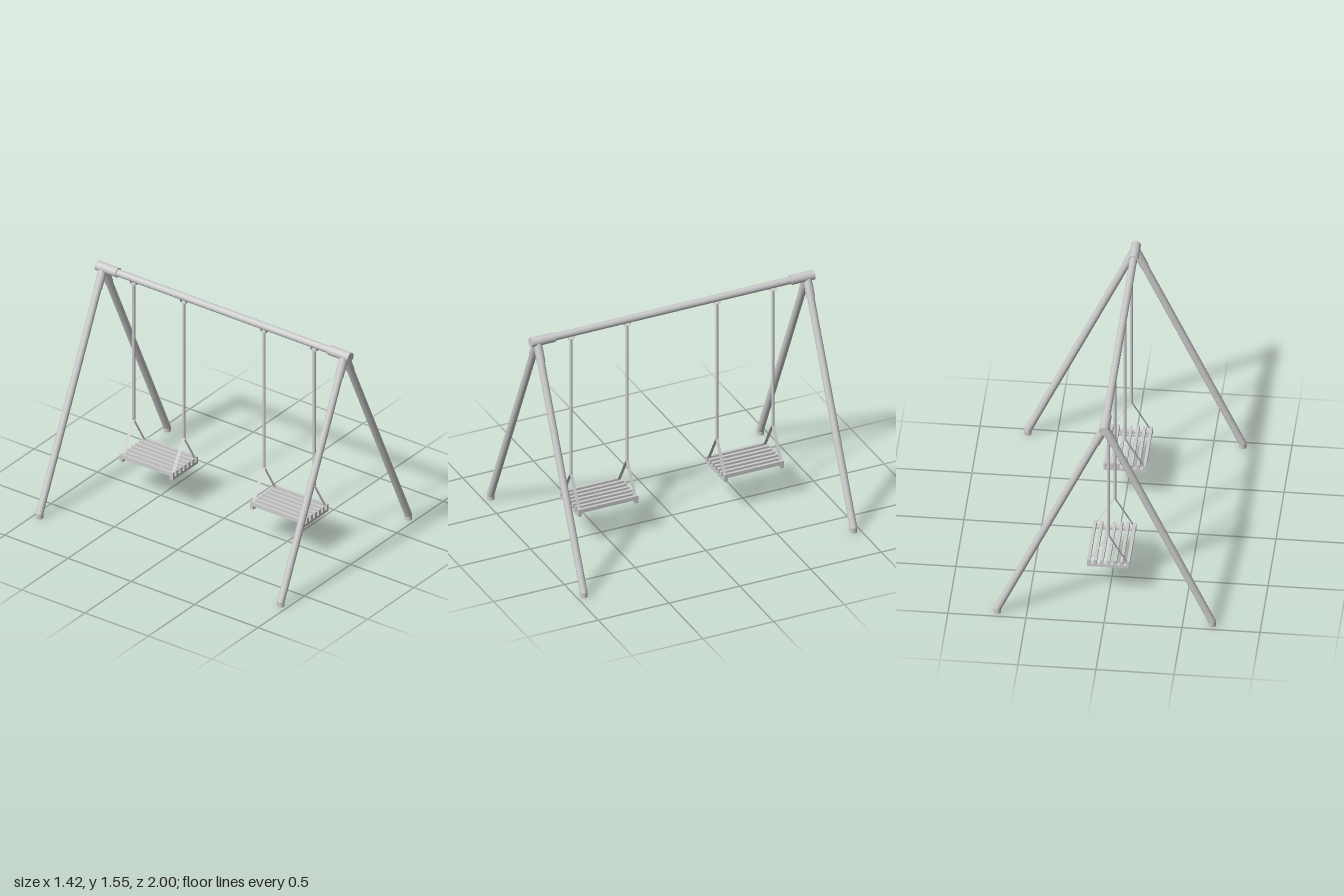
import * as THREE from 'three';

const grey = new THREE.MeshStandardMaterial({ color: 0xcccccc });
const thin = new THREE.MeshStandardMaterial({ color: 0xcccccc, side: THREE.DoubleSide, flatShading: true });

const BEAM_Y = 1.521, LEG_Z = 0.953, LEG_R = 0.024;
const FOOT_X = 0.688, BEND_Y = 0.03;
const SEAT_Z = 0.515, HALF_SPAN = 0.198;

function add(parent, name, geometry, x = 0, y = 0, z = 0, material = grey) {
  const mesh = new THREE.Mesh(geometry, material);
  mesh.name = name;
  mesh.position.set(x, y, z);
  parent.add(mesh);
  return mesh;
}

// Sheet-metal strip: a line in the xy plane swept along z
function ribbon(points, width) {
  const pos = [], index = [];
  points.forEach(([x, y], i) => {
    pos.push(x, y, -width / 2, x, y, width / 2);
    if (i) {
      const a = 2 * i - 2;
      index.push(a, a + 1, a + 2, a + 1, a + 3, a + 2);
    }
  });
  const g = new THREE.BufferGeometry();
  g.setAttribute('position', new THREE.Float32BufferAttribute(pos, 3));
  g.setIndex(index);
  g.computeVertexNormals();
  return g;
}

// Sloping tube with a mitred bend into a short upright foot
function legGeometry(angle) {
  const g = new THREE.CylinderGeometry(LEG_R, LEG_R, 2, 24, 2).toNonIndexed();
  const p = g.attributes.position;
  for (let i = 0; i < p.count; i++) {
    const u = p.getX(i), level = Math.round(p.getY(i));
    if (level < 0) p.setXY(i, FOOT_X + u, 0);
    else if (level === 0) p.setXY(i, FOOT_X + u, BEND_Y + u * Math.tan(angle / 2));
    else p.setXY(i, u * Math.cos(angle), BEAM_Y + u * Math.sin(angle));
  }
  g.computeVertexNormals();
  return g;
}

function createLeg() {
  const leg = new THREE.Group();
  leg.name = 'leg';
  const angle = Math.atan2(FOOT_X, BEAM_Y - BEND_Y);
  add(leg, 'legTube', legGeometry(angle));
  // Socket joining the leg to the beam
  const length = 0.143;
  const socket = add(leg, 'legSocket', new THREE.CylinderGeometry(0.028, 0.028, length, 24),
    Math.sin(angle) * length / 2, BEAM_Y - Math.cos(angle) * length / 2);
  socket.rotation.z = angle;
  return leg;
}

// Notched seat support with seven teeth
function combGeometry() {
  const half = 0.137, tooth = 0.02, pitch = (2 * half - tooth) / 6, depth = 0.026;
  const s = new THREE.Shape();
  s.moveTo(-half, 0.238);
  s.lineTo(half, 0.238);
  for (let i = 6; i >= 0; i--) {
    const x = -half + i * pitch;
    if (i < 6) s.lineTo(x + tooth, 0.257);
    s.lineTo(x + tooth, 0.29);
    s.lineTo(x, 0.29);
    if (i > 0) s.lineTo(x, 0.257);
  }
  s.closePath();
  return new THREE.ExtrudeGeometry(s, { depth, bevelEnabled: false }).translate(0, 0, -depth / 2);
}

function createSwing() {
  const swing = new THREE.Group();
  swing.name = 'swing';
  for (const z of [-HALF_SPAN, HALF_SPAN]) {
    add(swing, 'seatSupport', combGeometry(), 0, 0, z);
    // Inverted V strap from the rod to the ends of the support
    add(swing, 'strap', ribbon([[-0.127, 0.265], [0, 0.485], [0.127, 0.265]], 0.022), 0, 0, z, thin);
    add(swing, 'rod', new THREE.CylinderGeometry(0.01, 0.01, 0.998, 16), 0, 0.982, z);
    // U-shaped hanger strip beneath the beam
    const hanger = add(swing, 'hanger',
      ribbon([[-0.021, 1.508], [-0.021, 1.479], [0.021, 1.479], [0.021, 1.508]], 0.024), 0, 0, z, thin);
    hanger.rotation.y = Math.PI / 2;
  }
  // Slats run between the teeth of both supports
  for (let i = -3; i <= 3; i++) {
    add(swing, 'slat', new THREE.BoxGeometry(0.019, 0.027, 2 * HALF_SPAN - 0.02), i * 0.0423, 0.2755, 0);
  }
  return swing;
}

export function createModel() {
  const model = new THREE.Group();
  model.name = 'swingSet';

  // Top beam
  add(model, 'beam', new THREE.CylinderGeometry(0.024, 0.024, 1.96, 32).rotateX(Math.PI / 2), 0, BEAM_Y);

  for (const side of [-1, 1]) {
    // Sleeve at each end of the beam
    add(model, 'beamSleeve', new THREE.CylinderGeometry(0.032, 0.032, 0.165, 32).rotateX(Math.PI / 2),
      0, BEAM_Y, side * 0.9175);

    // A-frame: one leg and its half-turn copy
    for (const turn of [0, Math.PI]) {
      const leg = createLeg();
      leg.rotation.y = turn;
      leg.position.z = side * LEG_Z;
      model.add(leg);
    }

    const swing = createSwing();
    swing.position.z = side * SEAT_Z;
    model.add(swing);
  }
  return model;
}
